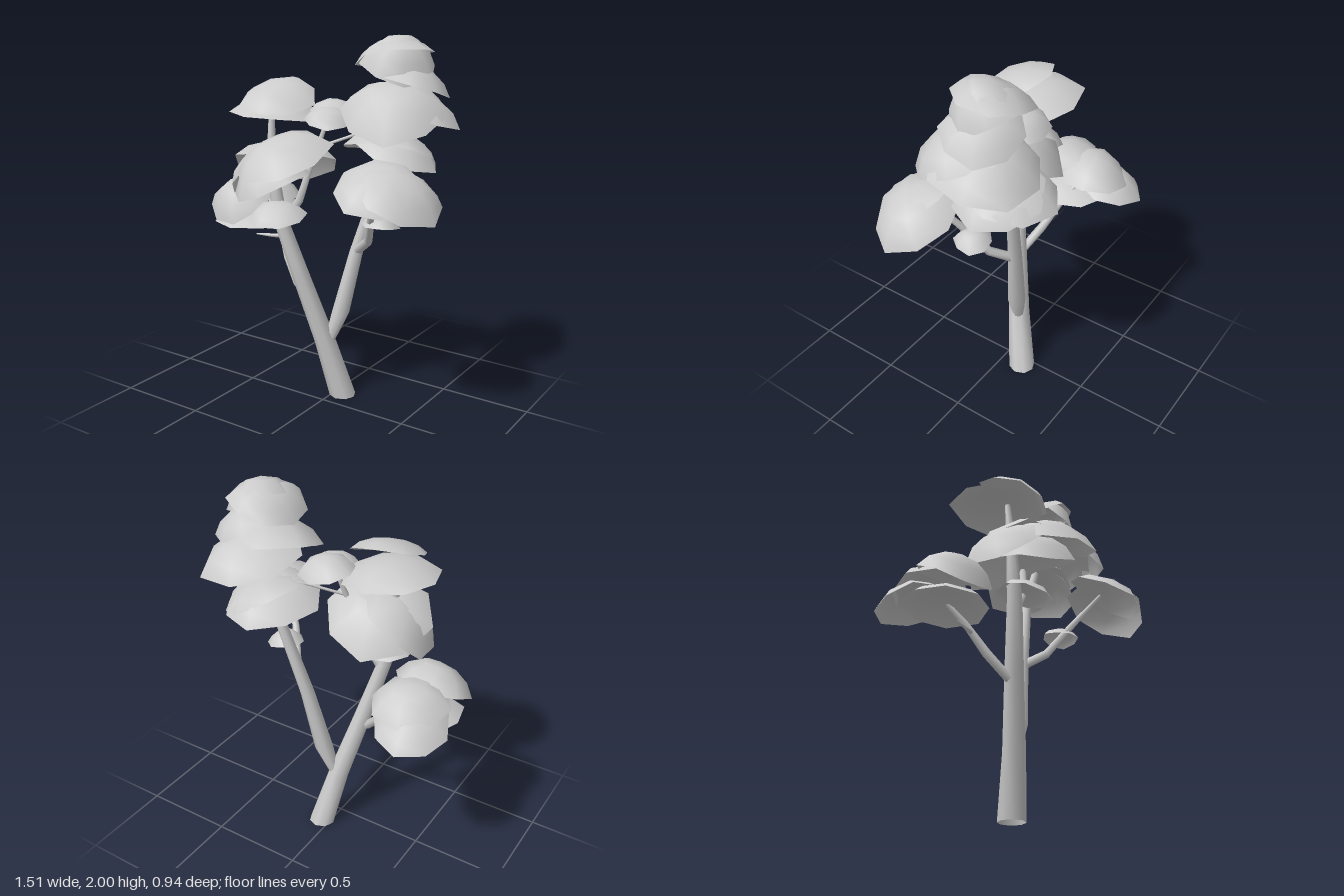
import * as THREE from 'three';

const grey = new THREE.MeshStandardMaterial({ color: 0xcccccc, side: THREE.DoubleSide });
grey.name = 'pale grey';

// Tapered limb through points [x, y, z, radius]; level keeps the rings horizontal
function limb(name, points, level = false, sides = 8) {
  const p = points.map(q => new THREE.Vector3(q[0], q[1], q[2]));
  const pos = [], index = [];
  p.forEach((c, i) => {
    const t = level
      ? new THREE.Vector3(0, 1, 0)
      : p[Math.min(i + 1, p.length - 1)].clone().sub(p[Math.max(i - 1, 0)]).normalize();
    const u = new THREE.Vector3(0, 0, 1).cross(t).normalize();
    const v = t.clone().cross(u);
    for (let s = 0; s < sides; s++) {
      const a = s / sides * Math.PI * 2;
      const q = c.clone()
        .addScaledVector(u, Math.cos(a) * points[i][3])
        .addScaledVector(v, Math.sin(a) * points[i][3]);
      pos.push(q.x, q.y, q.z);
      if (i < p.length - 1) {
        const n = (s + 1) % sides, b = i * sides, d = b + sides;
        index.push(b + s, b + n, d + s, b + n, d + n, d + s);
      }
    }
  });
  const g = new THREE.BufferGeometry();
  g.setAttribute('position', new THREE.Float32BufferAttribute(pos, 3));
  g.setIndex(index);
  g.computeVertexNormals();
  const m = new THREE.Mesh(g, grey);
  m.name = name;
  return m;
}

// Open leaf cap: shallow eight-sided shell with a slightly uneven rim.
// tx lowers its +x side, tz lowers its +z side (radians)
const SPREAD = 1.2;
function leafCap(x, y, z, r, h, tx, tz, seed) {
  const pos = [0, h, 0], index = [], sides = 8, rings = 3;
  for (let k = 1; k <= rings; k++) {
    const t = k / rings, th = t * SPREAD;
    const rho = Math.sin(th) / Math.sin(SPREAD) * r;
    const up = (Math.cos(th) - Math.cos(SPREAD)) / (1 - Math.cos(SPREAD));
    for (let s = 0; s < sides; s++) {
      const a = s / sides * Math.PI * 2 + seed * 0.9;
      const wob = 1 + 0.05 * t * Math.sin(3 * a + seed);
      const drop = 0.12 * t * Math.cos(2 * a + seed * 1.7);
      pos.push(Math.cos(a) * rho * wob, (up + drop) * h, Math.sin(a) * rho * wob);
      const n = (s + 1) % sides, b = 1 + (k - 1) * sides, c = b - sides;
      if (k === 1) index.push(0, b + n, b + s);
      else index.push(c + s, c + n, b + s, c + n, b + n, b + s);
    }
  }
  const g = new THREE.BufferGeometry();
  g.setAttribute('position', new THREE.Float32BufferAttribute(pos, 3));
  g.setIndex(index);
  g.computeVertexNormals();
  const m = new THREE.Mesh(g, grey);
  m.position.set(x, y, z);
  m.rotation.set(tz, 0, -tx);
  m.name = 'leafCap';
  return m;
}

// Leaf clusters: x, y, z of the rim centre, radius, height, tilt to +x, tilt to +z
const clusters = {
  crownTop: [
    [0.36, 1.84, -0.13, 0.19, 0.165, 0.25, 0.25],
    [0.33, 1.89, -0.14, 0.20, 0.09, -0.25, -0.1],
    [0.42, 1.77, -0.15, 0.20, 0.10, 0.3, -0.15]
  ],
  crownMiddle: [
    [0.39, 1.62, -0.04, 0.27, 0.15, 0.15, 0.35],
    [0.42, 1.60, -0.17, 0.27, 0.13, 0.15, -0.25]
  ],
  crownLower: [
    [0.28, 1.41, -0.20, 0.25, 0.11, 0, -0.25],
    [0.34, 1.41, -0.18, 0.23, 0.10, 0.4, 0]
  ],
  leftFoliage: [
    [0.54, 1.27, 0.17, 0.23, 0.11, 0.5, 0.12],
    [0.46, 1.30, 0.22, 0.22, 0.09, 0.2, 0.45]
  ],
  leftSprig: [
    [0.34, 1.06, -0.02, 0.10, 0.06, 0.1, 0]
  ],
  rightLowFoliage: [
    [-0.54, 1.07, -0.01, 0.20, 0.13, -0.1, 0.45],
    [-0.52, 1.07, -0.20, 0.20, 0.11, 0, -0.15],
    [-0.57, 1.00, -0.28, 0.19, 0.09, -0.1, -0.3],
    [-0.52, 0.95, -0.08, 0.22, 0.08, 0.05, 0]
  ],
  innerSprig: [
    [-0.18, 1.07, 0.15, 0.15, 0.07, 0.1, 0.2]
  ],
  rightMiddleFoliage: [
    [-0.09, 1.38, 0.22, 0.26, 0.13, -0.2, 0.3],
    [-0.29, 1.32, 0.11, 0.23, 0.10, -0.7, 0.1],
    [-0.17, 1.25, 0.21, 0.21, 0.14, -0.25, 0.2],
    [-0.18, 1.33, 0.07, 0.28, 0.12, -0.2, -0.4]
  ],
  rightTopFoliage: [
    [-0.21, 1.68, 0.09, 0.20, 0.065, 0.15, 0.38],
    [-0.27, 1.59, 0.03, 0.25, 0.08, 0.1, 0]
  ],
  centreSprig: [
    [0.02, 1.59, -0.09, 0.145, 0.08, 0.1, -0.1],
    [0.05, 1.57, 0.02, 0.13, 0.07, 0.1, 0.15]
  ]
};

export function createModel() {
  const tree = new THREE.Group();
  tree.name = 'tree';

  // Two leaning stems
  tree.add(limb('mainTrunk', [
    [0.05, 0, -0.125, 0.074], [-0.02, 0.33, -0.055, 0.06],
    [-0.12, 0.70, 0.025, 0.05], [-0.21, 1.05, 0.10, 0.04],
    [-0.25, 1.35, 0.11, 0.027], [-0.26, 1.60, 0.09, 0.015]], true));
  tree.add(limb('secondTrunk', [
    [-0.01, 0.30, -0.06, 0.025], [0.055, 0.50, -0.09, 0.05],
    [0.13, 0.86, -0.13, 0.038], [0.25, 1.30, -0.19, 0.028],
    [0.33, 1.58, -0.17, 0.02], [0.37, 1.84, -0.14, 0.01]], true));

  // Side branches and twigs
  const branches = {
    leftBranch: [[0.13, 0.86, -0.13, 0.026], [0.25, 0.95, -0.05, 0.024],
      [0.33, 1.11, 0.06, 0.02], [0.46, 1.32, 0.18, 0.01]],
    rightBranch: [[-0.15, 0.66, 0.02, 0.024], [-0.26, 0.78, -0.04, 0.024],
      [-0.35, 0.92, -0.10, 0.018], [-0.50, 1.08, -0.18, 0.01]],
    rightTwig: [[-0.33, 0.88, -0.08, 0.012], [-0.40, 0.88, -0.06, 0.01],
      [-0.48, 0.88, -0.04, 0.004]],
    innerBranch: [[-0.20, 1.00, 0.09, 0.024], [-0.10, 1.15, 0.07, 0.023],
      [-0.06, 1.32, 0.03, 0.018], [0.02, 1.62, -0.05, 0.01]],
    crossTwig: [[0.26, 1.52, -0.18, 0.008], [0.13, 1.49, -0.10, 0.008],
      [-0.04, 1.42, 0.02, 0.008]]
  };
  for (const [name, points] of Object.entries(branches)) tree.add(limb(name, points, false, 6));

  // Foliage
  let seed = 1;
  for (const [name, caps] of Object.entries(clusters)) {
    const group = new THREE.Group();
    group.name = name;
    for (const c of caps) group.add(leafCap(...c, seed++));
    tree.add(group);
  }
  return tree;
}
